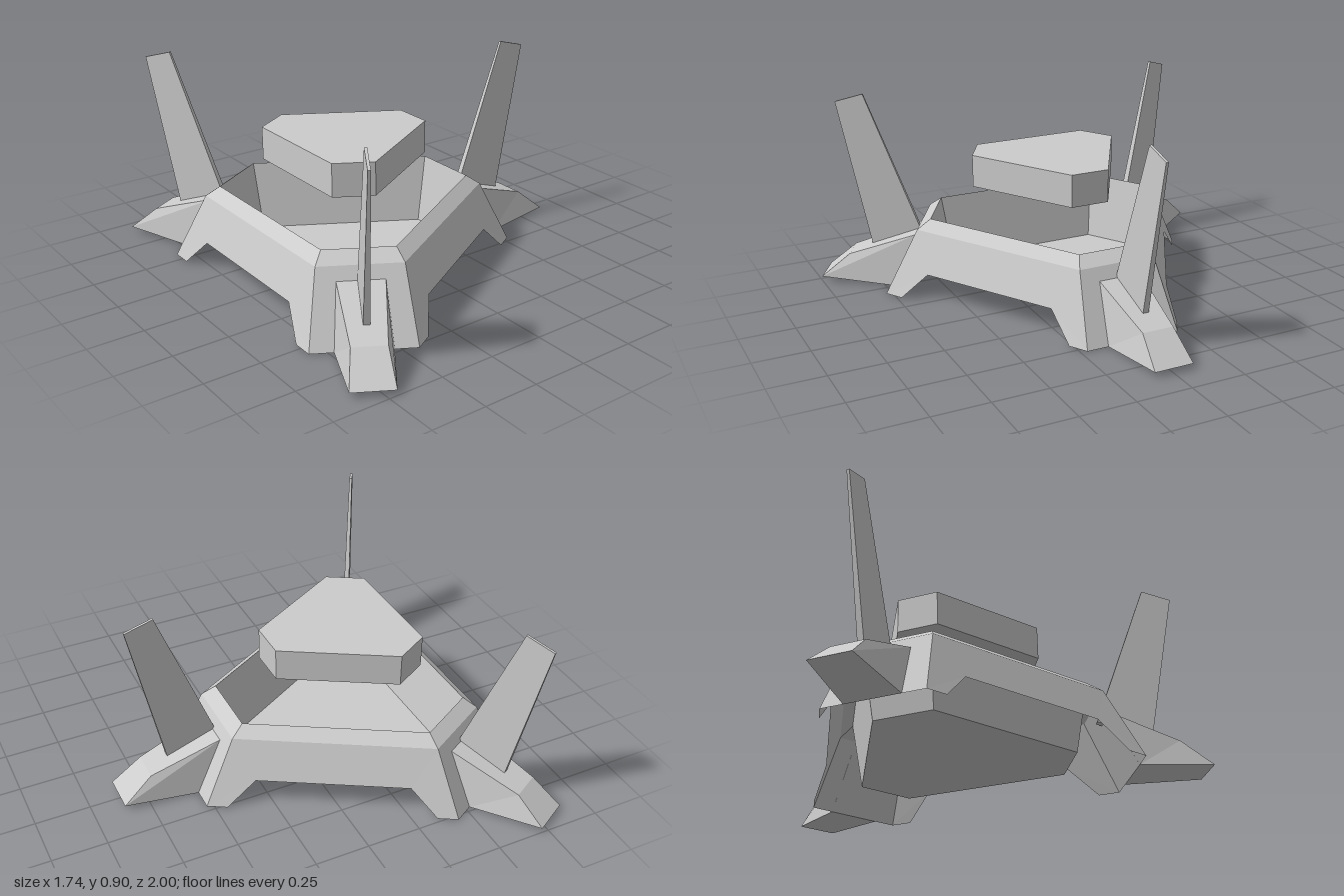
import * as THREE from 'three';

const material = new THREE.MeshStandardMaterial({
  color: 0xcccccc, flatShading: true, side: THREE.DoubleSide,
});

// Mesh from convex polygons, each a list of [x, y, z] corners in counter-clockwise order
function polyMesh(name, polygons) {
  const pos = [];
  for (const p of polygons) {
    for (let i = 1; i < p.length - 1; i++) pos.push(...p[0], ...p[i], ...p[i + 1]);
  }
  const geo = new THREE.BufferGeometry();
  geo.setAttribute('position', new THREE.Float32BufferAttribute(pos, 3));
  geo.computeVertexNormals();
  const mesh = new THREE.Mesh(geo, material);
  mesh.name = name;
  return mesh;
}

// Six corners of a triangle with cut-off tips: each tip lies at radius u, half width v
function ring(u, v, y) {
  const pts = [];
  for (let k = 0; k < 3; k++) {
    const a = k * Math.PI * 2 / 3, c = Math.cos(a), s = Math.sin(a);
    for (const w of [v, -v]) pts.push([u * c + w * s, y, -u * s + w * c]);
  }
  return pts;
}

// Quads joining two rings, facing outwards when the first is the lower one
const band = (lo, hi) => lo.map((p, i) => {
  const j = (i + 1) % lo.length;
  return [p, lo[j], hi[j], hi[i]];
});

// Closed solid through a series of rings from bottom to top
function loft(name, rings) {
  const faces = [[...rings[0]].reverse(), rings[rings.length - 1]];
  for (let i = 0; i + 1 < rings.length; i++) faces.push(...band(rings[i], rings[i + 1]));
  return polyMesh(name, faces);
}

export function createModel() {
  const model = new THREE.Group();
  model.name = 'threeArmedCraft';
  const body = new THREE.Group();
  body.name = 'body';
  body.position.x = -0.24;
  model.add(body);

  // Hull: bevelled rim over sloping walls, cut away between the legs
  const rim = ring(0.56, 0.152, 0.35);
  const shoulder = ring(0.62, 0.18, 0.305);
  const ground = ring(0.77, 0.22, 0);
  const legInner = ring(0.69, 0.266, 0);
  const cutout = ring(0.56, 0.287, 0.125);
  const hull = band(shoulder, rim);
  for (let i = 0; i < 6; i += 2) {
    const a = i + 1, b = (i + 2) % 6;
    hull.push(
      [ground[i], ground[a], shoulder[a], shoulder[i]],
      [ground[a], legInner[a], cutout[a], shoulder[a]],
      [cutout[a], cutout[b], shoulder[b], shoulder[a]],
      [cutout[b], legInner[b], ground[b], shoulder[b]],
    );
  }
  body.add(polyMesh('hull', hull));

  // Tub: thin sunken basin hanging from the rim
  const floor = ring(0.505, 0.13, 0.04);
  body.add(polyMesh('tub', [...band(rim, floor), floor]));

  // Floating slab above the tub
  body.add(loft('floatingSlab', [ring(0.367, 0.09, 0.49), ring(0.367, 0.09, 0.64)]));

  // Foot and fin on each of the three arms
  for (let k = 0; k < 3; k++) {
    const arm = new THREE.Group();
    arm.name = 'arm' + (k + 1);
    arm.rotation.y = k * Math.PI * 2 / 3;

    // Foot: side outline [radius, height, half width], mirrored across the arm
    const outline = [[0.77, 0, 0.12], [1.105, 0.025, 0.09], [0.97, 0.137, 0.072], [0.645, 0.25, 0.1]];
    const left = outline.map(([u, y, w]) => [u, y, w]);
    const right = outline.map(([u, y, w]) => [u, y, -w]);
    arm.add(polyMesh('foot', [left, [...right].reverse(), ...band(right, left)]));

    // Fin: thin blade leaning outwards, thinner at the top
    const section = (u0, y0, u1, y1, w) =>
      [[u0, y0, w], [u1, y1, w], [u1, y1, -w], [u0, y0, -w]];
    arm.add(loft('fin', [
      section(0.63, 0.235, 0.868, 0.165, 0.014),
      section(0.88, 0.9, 1.01, 0.863, 0.006),
    ]));
    body.add(arm);
  }
  return model;
}
